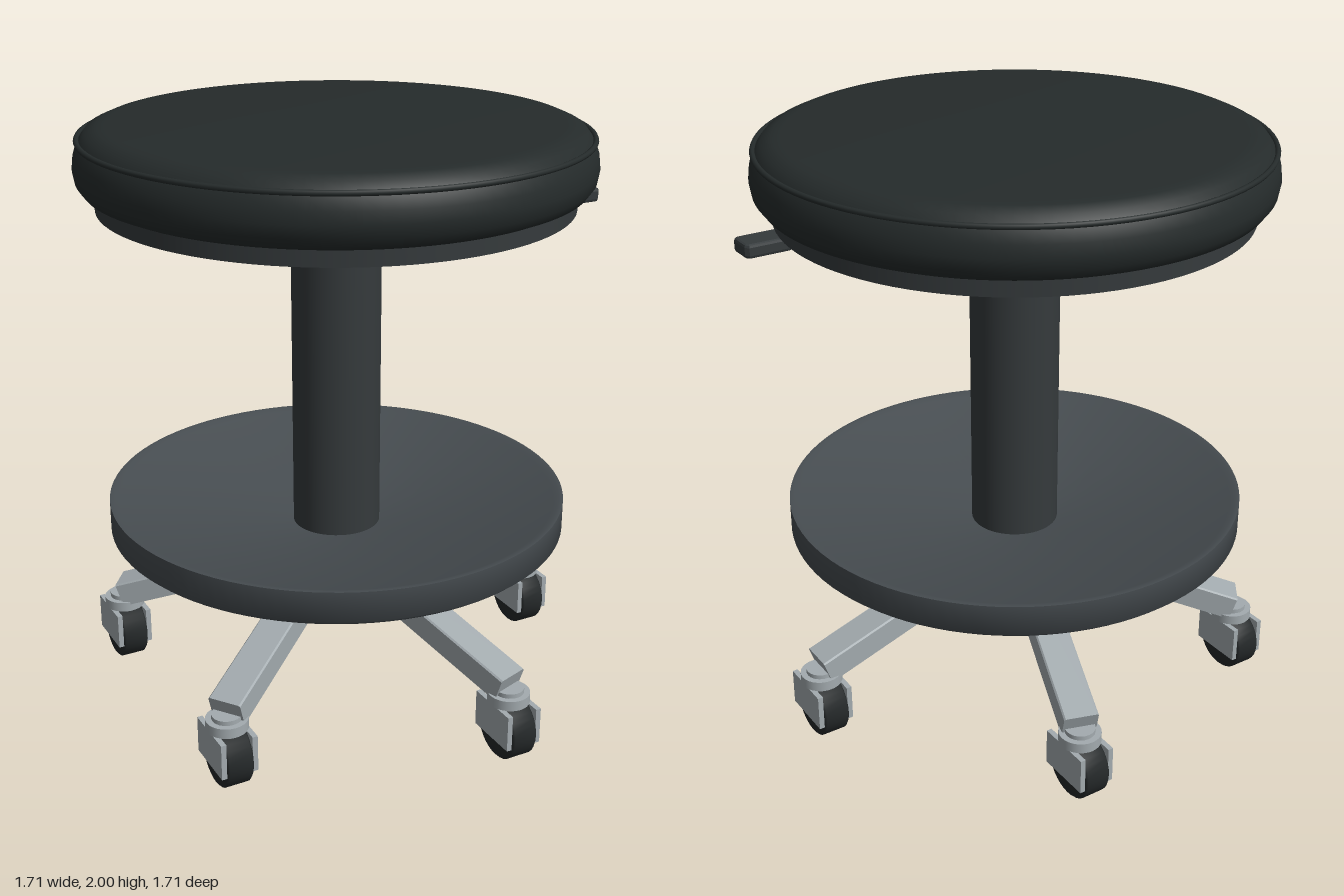
import * as THREE from 'three';
import { toCreasedNormals } from 'three/addons/utils/BufferGeometryUtils.js';

const mat = (color) => new THREE.MeshStandardMaterial({ color });
const vinyl = mat(0x252b2b), plastic = mat(0x353a3c), footGrey = mat(0x464c50);
const rubber = mat(0x25292a), steel = mat(0xa3abaf);

function add(parent, name, geometry, material, x = 0, y = 0, z = 0) {
  const mesh = new THREE.Mesh(geometry, material);
  mesh.name = name;
  mesh.position.set(x, y, z);
  parent.add(mesh);
  return mesh;
}

// Turned part from [radius, height] pairs, listed from the bottom axis outward and up
function turned(points, segments = 72) {
  const profile = points.map(([r, y]) => new THREE.Vector2(r, y));
  return toCreasedNormals(new THREE.LatheGeometry(profile, segments), 0.9);
}

// Swivel caster with its axle along x
function caster() {
  const group = new THREE.Group();
  group.name = 'caster';
  const tyre = turned([[0, -0.045], [0.101, -0.045], [0.107, -0.039],
    [0.107, 0.039], [0.101, 0.045], [0, 0.045]], 32);
  add(group, 'wheel', tyre, rubber, 0, 0.107, 0).rotation.z = Math.PI / 2;
  for (const s of [-1, 1]) {
    add(group, 'forkPlate', new THREE.BoxGeometry(0.018, 0.125, 0.19), steel, s * 0.054, 0.138, 0);
  }
  add(group, 'forkCollar', new THREE.CylinderGeometry(0.07, 0.07, 0.035, 28), steel, 0, 0.217, 0);
  add(group, 'stem', new THREE.CylinderGeometry(0.05, 0.05, 0.02, 20), steel, 0, 0.24, 0);
  return group;
}

// Sloping leg bar along +x, with slightly eased top edges
function legBar() {
  const w = 0.058, h = 0.087, c = 0.005;
  const section = new THREE.Shape([[-w, -h], [w, -h], [w, -c], [w - c, 0], [c - w, 0], [-w, -c]]
    .map(([x, y]) => new THREE.Vector2(x, y)));
  const geo = new THREE.ExtrudeGeometry(section, { depth: 0.814, bevelEnabled: false });
  return geo.translate(0, 0, 0.03).rotateY(Math.PI / 2).rotateZ(-0.316);
}

export function createModel() {
  const model = new THREE.Group();
  model.name = 'stool';
  const body = new THREE.Group();
  body.name = 'stoolBody';
  body.position.x = -0.019;
  model.add(body);

  // Seat: cushion, piping and base plate
  add(body, 'seatCushion', turned([[0, 1.785], [0.775, 1.785], [0.81, 1.8], [0.832, 1.83], [0.839, 1.87],
    [0.834, 1.91], [0.822, 1.945], [0.812, 1.96], [0.795, 1.982], [0.76, 1.997], [0.73, 2], [0, 2]], 96), vinyl);
  add(body, 'seatPiping', new THREE.TorusGeometry(0.821, 0.009, 8, 96).rotateX(Math.PI / 2), vinyl, 0, 1.957, 0);
  add(body, 'seatPlate', new THREE.CylinderGeometry(0.775, 0.775, 0.06, 96), plastic, 0, 1.765, 0);

  // Column
  add(body, 'gasPiston', new THREE.CylinderGeometry(0.103, 0.103, 0.2, 40), steel, 0, 1.65, 0);
  add(body, 'columnSleeve', new THREE.CylinderGeometry(0.15, 0.15, 1.075, 48), plastic, 0, 1.0675, 0);
  add(body, 'hub', new THREE.CylinderGeometry(0.128, 0.128, 0.06, 40), plastic, 0, 0.53, 0);

  // Dished foot rest
  add(body, 'footRest', turned([[0.14, 0.568], [0.68, 0.568], [0.72, 0.58], [0.765, 0.604], [0.783, 0.62],
    [0.783, 0.722], [0.768, 0.722], [0.75, 0.712], [0.145, 0.602]], 96), footGrey);

  // Height lever
  const rodPath = new THREE.LineCurve3(new THREE.Vector3(0, 1.712, -0.025), new THREE.Vector3(0.72, 1.702, 0.19));
  add(body, 'leverRod', new THREE.TubeGeometry(rodPath, 1, 0.017, 12), steel);
  const grip = new THREE.Shape([[0, -0.022], [0.035, -0.05], [0.172, -0.05], [0.183, -0.038],
    [0.183, 0.038], [0.172, 0.05], [0.035, 0.05], [0, 0.022]].map(([x, y]) => new THREE.Vector2(x, y)));
  const gripGeo = new THREE.ExtrudeGeometry(grip,
    { depth: 0.026, bevelThickness: 0.01, bevelSize: 0.008, bevelOffset: -0.008, bevelSegments: 2 });
  add(body, 'leverGrip', gripGeo.rotateX(-Math.PI / 2), plastic, 0.69, 1.697, 0.2);

  // Five legs; every caster keeps the same heading
  const bar = legBar();
  for (let i = 0; i < 5; i++) {
    const a = (i / 5) * Math.PI * 2;
    add(body, 'leg', bar, steel, 0, 0.562, 0).rotation.y = -a;
    const c = caster();
    c.position.set(0.787 * Math.cos(a), 0, 0.787 * Math.sin(a));
    body.add(c);
  }
  return model;
}
